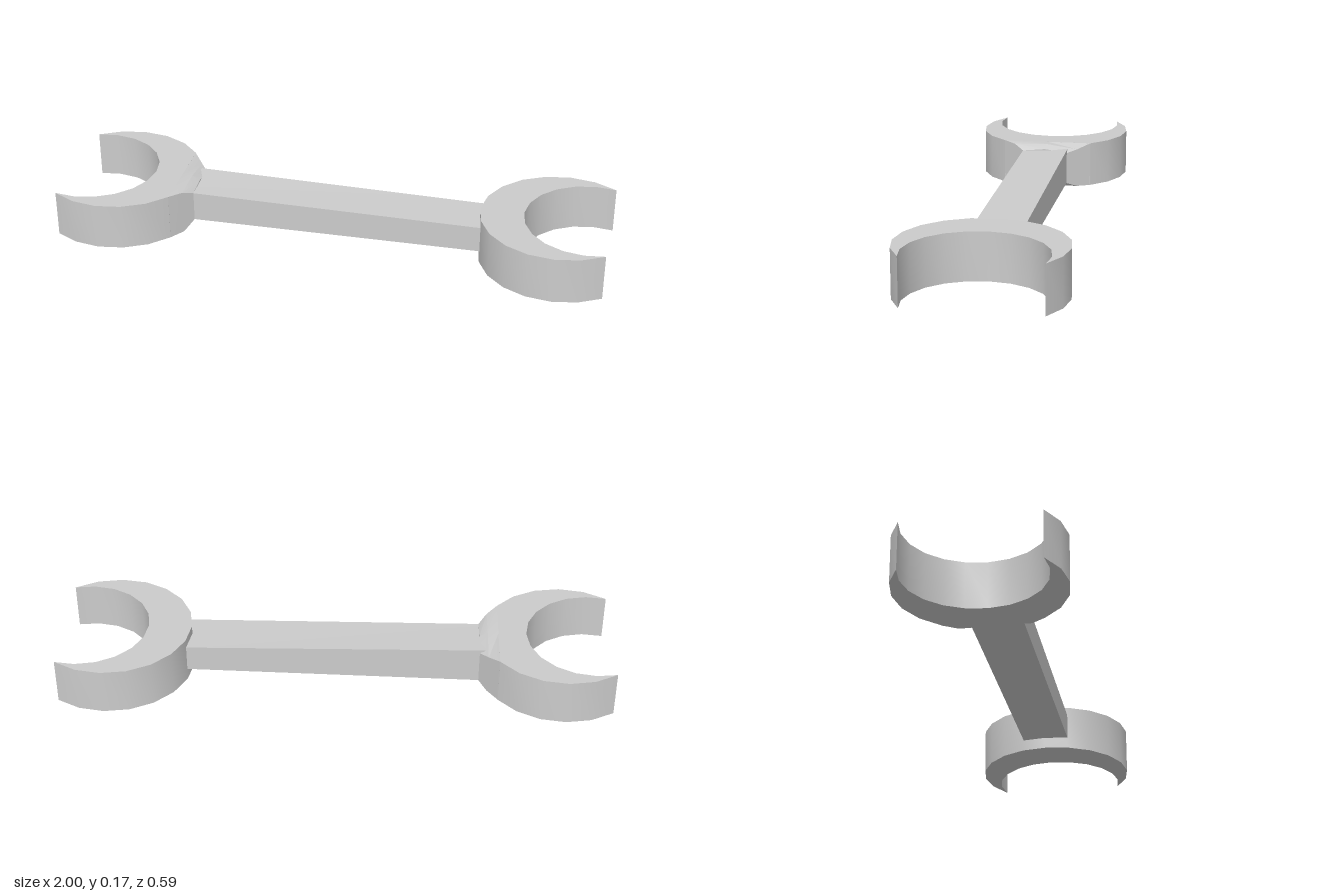
import * as THREE from 'three';
import { toCreasedNormals } from 'three/addons/utils/BufferGeometryUtils.js';

const H = 0.172;
const material = new THREE.MeshStandardMaterial({ color: 0xcccccc });

// Points on an arc in the x-z plane, angles in degrees
function arc(cx, r, from, to, steps) {
  return Array.from({ length: steps + 1 }, (_, i) => {
    const a = THREE.MathUtils.degToRad(from + (to - from) * i / steps);
    return new THREE.Vector2(cx + r * Math.cos(a), r * Math.sin(a));
  });
}

// Crescent jaw; side is +1 or -1, flatBack cuts a chord for the neck
function jaw(name, side, flatBack) {
  let outer = arc(0.825, 0.293, 53.3, 306.7, 14);
  if (flatBack) outer = outer.filter((p) => p.x > 0.58);
  const inner = arc(0.934, 0.244, 285.7, 74.3, 12).slice(1, -1);
  const points = [...outer, ...inner].map((p) => new THREE.Vector2(p.x * side, p.y));
  const geometry = new THREE.ExtrudeGeometry(new THREE.Shape(points), { depth: H, bevelEnabled: false });
  geometry.rotateX(Math.PI / 2).translate(0, H, 0);
  return part(name, toCreasedNormals(geometry, 0.6));
}

// Skin a row of sections { x, ring: [[z, y], ...] } and cap both ends
function loft(sections) {
  const n = sections[0].ring.length;
  const position = sections.flatMap(({ x, ring }) => ring.flatMap(([z, y]) => [x, y, z]));
  const index = [];
  for (let i = 0; i < sections.length - 1; i++) {
    for (let j = 0; j < n; j++) {
      const a = i * n + j, b = i * n + (j + 1) % n;
      index.push(a, a + n, b + n, a, b + n, b);
    }
  }
  const last = (sections.length - 1) * n;
  for (let j = 1; j < n - 1; j++) {
    index.push(0, j, j + 1, last, last + j + 1, last + j);
  }
  const geometry = new THREE.BufferGeometry();
  geometry.setAttribute('position', new THREE.Float32BufferAttribute(position, 3));
  geometry.setIndex(index);
  return toCreasedNormals(geometry.toNonIndexed(), 0.3);
}

function part(name, geometry) {
  const mesh = new THREE.Mesh(geometry, material);
  mesh.name = name;
  return mesh;
}

export function createModel() {
  const group = new THREE.Group();
  group.name = 'openEndedWrench';

  group.add(jaw('leftJaw', 1, false), jaw('rightJaw', -1, true));

  // Handle, slightly twisted and tapering towards +x
  group.add(part('handle', loft([
    { x: -0.54, ring: [[0.088, 0.038], [0.088, 0.149], [-0.088, 0.157], [-0.088, 0.022]] },
    { x: 0.56, ring: [[0.088, 0.043], [0.088, 0.14], [-0.088, 0.14], [-0.088, 0.043]] },
  ])));

  // Neck blending the thicker end of the handle into the jaw
  group.add(part('neck', loft([
    { x: -0.589, ring: [[0.173, 0], [0.173, H], [0, H], [-0.173, H], [-0.173, 0]] },
    { x: -0.55, ring: [[0.126, 0.004], [0.126, 0.168], [0, H], [-0.126, 0.155], [-0.126, 0.004]] },
    { x: -0.52, ring: [[0.088, 0.038], [0.088, 0.149], [0, 0.158], [-0.088, 0.145], [-0.088, 0.022]] },
  ])));

  return group;
}
